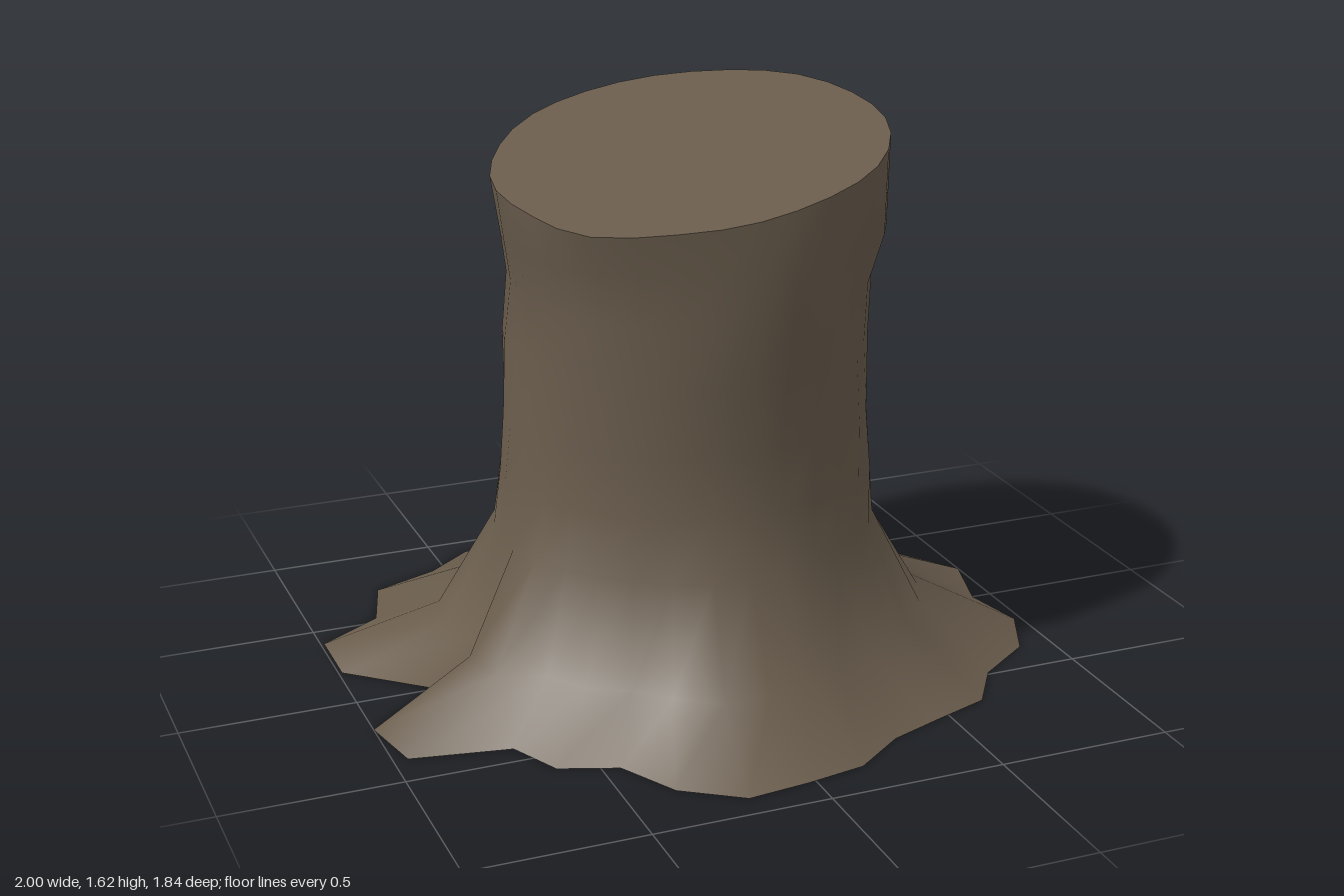
import * as THREE from 'three';

// Root outline on the ground (x, z)
const ROOTS = [
  [-0.40, -0.92], [-0.20, -0.88], [-0.02, -0.71], [0.13, -0.77], [0.32, -0.84], [0.46, -0.71], [0.59, -0.62], [0.65, -0.46],
  [0.88, -0.38], [1.0, -0.21], [0.94, 0], [0.98, 0.19], [0.90, 0.37], [0.73, 0.49], [0.63, 0.64], [0.46, 0.70],
  [0.30, 0.76], [0.15, 0.87], [-0.02, 0.90], [-0.20, 0.92], [-0.36, 0.81], [-0.45, 0.64], [-0.61, 0.58], [-0.68, 0.43],
  [-0.96, 0.38], [-1.0, 0.18], [-0.78, -0.01], [-0.99, -0.20], [-0.99, -0.41], [-0.80, -0.53], [-0.74, -0.73], [-0.54, -0.81],
];

// Trunk sections: height, left x, right x, back z, front z, share of the root outline
const SECTIONS = [
  [0, -0.55, 0.52, -0.53, 0.51, 1],
  [0.14, -0.55, 0.52, -0.53, 0.51, 0.35],
  [0.43, -0.55, 0.515, -0.53, 0.51, 0.02],
  [0.60, -0.54, 0.52, -0.50, 0.50, 0],
  [0.77, -0.525, 0.515, -0.48, 0.49, 0],
  [0.98, -0.52, 0.50, -0.505, 0.525, 0],
  [1.15, -0.51, 0.495, -0.505, 0.535, 0],
  [1.29, -0.54, 0.535, -0.505, 0.55, 0],
  [1.52, -0.56, 0.54, -0.475, 0.555, 0],
];
const TOP = SECTIONS.length - 1;
const cutHeight = (x, z) => 1.52 + 0.13 * x - 0.15 * z; // slanted saw cut

function sectionPoint(s, i) {
  const [y, left, right, back, front, share] = SECTIONS[s];
  const [bx, bz] = ROOTS[i];
  const a = Math.atan2(bz, bx);
  // bark folds that wind around the trunk, plus a bulge near the cut
  const folds = 0.013 * Math.cos(5 * (a - 1.2 * y)) + 0.007 * Math.cos(8 * (a - 1.2 * y) + 1);
  const bulge = 0.07 * Math.max(0, y - 0.9) / 0.6 * Math.exp(-(((a - 2.39) / 0.3) ** 2));
  const k = 1 + (s === TOP ? 0.5 : 1) * folds + bulge;
  const x = (left + right) / 2 + (right - left) / 2 * k * Math.cos(a);
  const z = (back + front) / 2 + (front - back) / 2 * k * Math.sin(a);
  const px = x + (bx - x) * share, pz = z + (bz - z) * share;
  return [px, s === TOP ? cutHeight(px, pz) : y, pz];
}

function makeGeometry(positions, index) {
  const g = new THREE.BufferGeometry();
  g.setAttribute('position', new THREE.Float32BufferAttribute(positions, 3));
  g.setIndex(index);
  g.computeVertexNormals();
  return g;
}

// Fan closing one end of the trunk
function capGeometry(s, up) {
  const n = ROOTS.length, index = [];
  const positions = [0, s === TOP ? cutHeight(0, 0) : 0, 0];
  for (let i = 0; i < n; i++) {
    positions.push(...sectionPoint(s, i));
    const p = i + 1, q = (i + 1) % n + 1;
    index.push(0, ...(up ? [q, p] : [p, q]));
  }
  return makeGeometry(positions, index);
}

// Smooth bark skin through all sections
function barkGeometry() {
  const n = ROOTS.length, positions = [], index = [];
  for (let s = 0; s <= TOP; s++) {
    for (let i = 0; i < n; i++) {
      positions.push(...sectionPoint(s, i));
      if (s === TOP) continue;
      const a = s * n + i, b = s * n + (i + 1) % n;
      index.push(a, a + n, b, b, a + n, b + n);
    }
  }
  return makeGeometry(positions, index);
}

export function createModel() {
  const group = new THREE.Group();
  group.name = 'treeStump';
  const bark = new THREE.MeshStandardMaterial({ color: 0x695c4c });
  bark.name = 'barkBrown';
  const add = (name, geometry) => {
    const mesh = new THREE.Mesh(geometry, bark);
    mesh.name = name;
    group.add(mesh);
  };
  add('trunkAndRoots', barkGeometry());
  add('cutTop', capGeometry(TOP, true));
  add('underside', capGeometry(0, false));
  return group;
}
